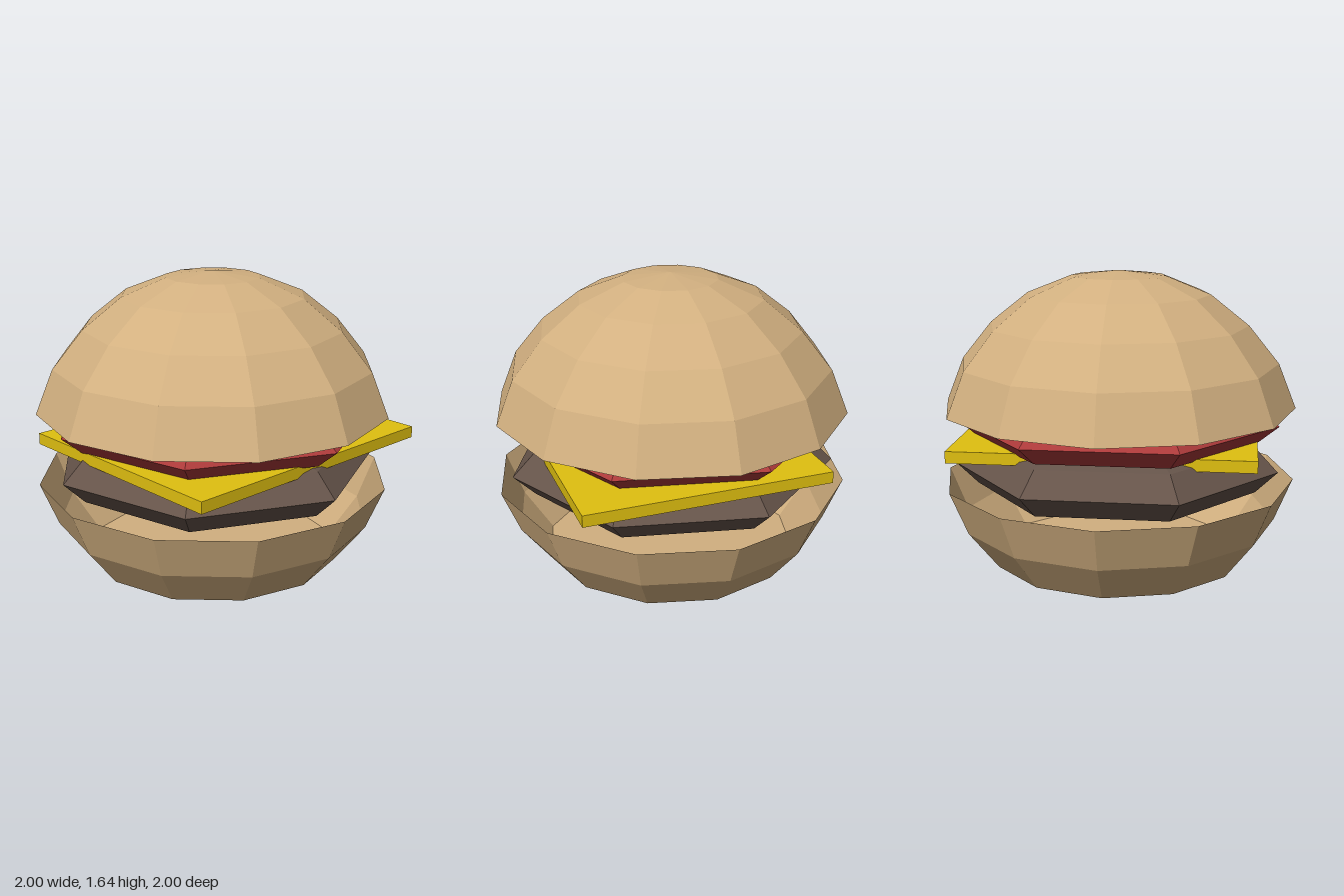
import * as THREE from 'three';

export function createModel() {
  const burger = new THREE.Group();
  burger.name = 'burger';

  const add = (name, geometry, color, y = 0) => {
    const material = new THREE.MeshStandardMaterial({ color, flatShading: true, side: THREE.DoubleSide });
    const mesh = new THREE.Mesh(geometry, material);
    mesh.name = name;
    mesh.position.y = y;
    burger.add(mesh);
    return mesh;
  };

  // Twelve-sided open bun shell, profile listed from bottom to top
  const bun = (name, profile) =>
    add(name, new THREE.LatheGeometry(profile.map(([r, y]) => new THREE.Vector2(r, y)), 12), 0xd2b080);

  bun('bottomBun', [[0, 0], [0.73, 0], [0.9, 0.22], [1, 0.465]]);
  bun('topBun', [[1, 0.88], [0.9, 1.13], [0.73, 1.34], [0.515, 1.51], [0.265, 1.61], [0, 1.64]]);

  // Fillings: flattened seven-sided spheres with one corner on +x
  const filling = (name, color, y, halfHeight) =>
    add(name, new THREE.SphereGeometry(1, 7, 6).scale(0.93, halfHeight, 0.93).rotateY(Math.PI), color, y);

  filling('patty', 0x66544a, 0.56, 0.25);
  filling('tomato', 0xac3a3a, 0.82, 0.21);

  // Square cheese slice, slightly off centre
  const cheese = add('cheese', new THREE.BoxGeometry(1.365, 0.065, 1.645), 0xe0c010, 0.6975);
  cheese.position.x = 0.0875;
  cheese.position.z = -0.0325;

  return burger;
}
